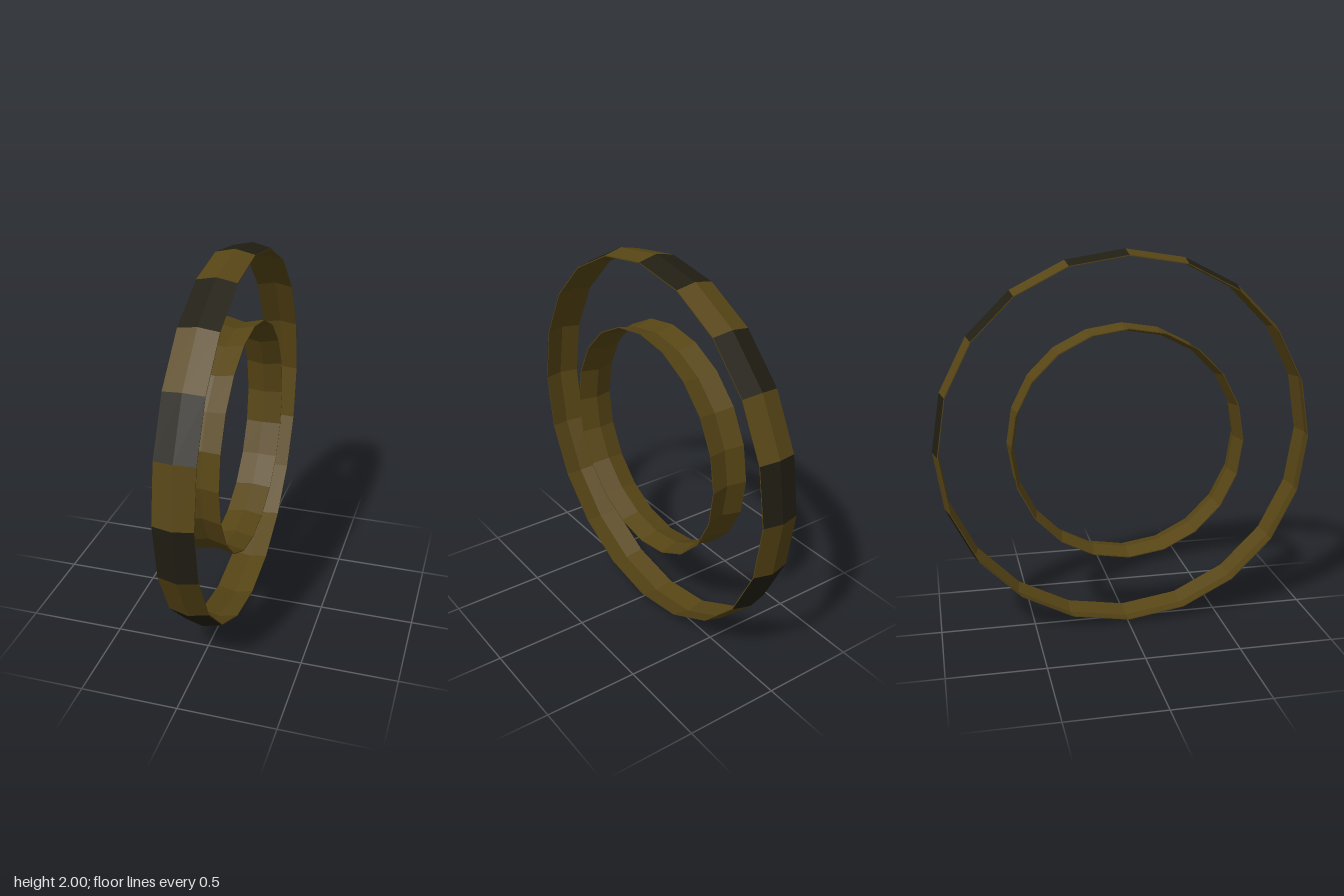
import * as THREE from 'three';

const SIDES = 20;
const STEP = (Math.PI * 2) / SIDES;
const HALF = 0.1; // half of the band width
const THICK = 0.005;

const material = (color) => new THREE.MeshStandardMaterial({ color, flatShading: true });
const gold = material(0x574515);
const dark = material(0x211e13);

// Spins a [radius, height] profile around the ring axis
function spin(name, profile, mat, start = 0, segments = SIDES) {
  const points = profile.map(([r, h]) => new THREE.Vector2(r, h));
  const geometry = new THREE.LatheGeometry(points, segments, start * STEP, segments * STEP);
  const mesh = new THREE.Mesh(geometry, mat);
  mesh.name = name;
  return mesh;
}

// Outward face of a band: edge radius and middle radius
const outside = (edge, mid) => [[edge, -HALF], [mid, 0], [edge, HALF]];

// Inward face of a band, together with its two thin rims
const inside = (edge, mid) => [
  [edge, HALF], [edge - THICK, HALF], [mid - THICK, 0], [edge - THICK, -HALF], [edge, -HALF],
];

export function createModel() {
  const model = new THREE.Group();
  model.name = 'doubleRing';

  // Outer ring: ridge points outward, alternating gold and dark panels
  const outerRing = new THREE.Group();
  outerRing.name = 'outerRing';
  for (let i = 0; i < SIDES; i++) {
    outerRing.add(spin('outerPanel', outside(0.978, 1), i % 2 ? dark : gold, i, 1));
  }
  outerRing.add(spin('outerRingLining', inside(0.978, 1), gold));

  // Inner ring: ridge points inward, plain gold
  const innerRing = new THREE.Group();
  innerRing.name = 'innerRing';
  innerRing.add(spin('innerRingOutside', outside(0.615, 0.593), gold));
  innerRing.add(spin('innerRingLining', inside(0.615, 0.593), gold));

  // Stand the rings upright with the axis along x
  for (const ring of [outerRing, innerRing]) {
    ring.rotation.z = Math.PI / 2;
    ring.position.y = 1;
    model.add(ring);
  }
  return model;
}
